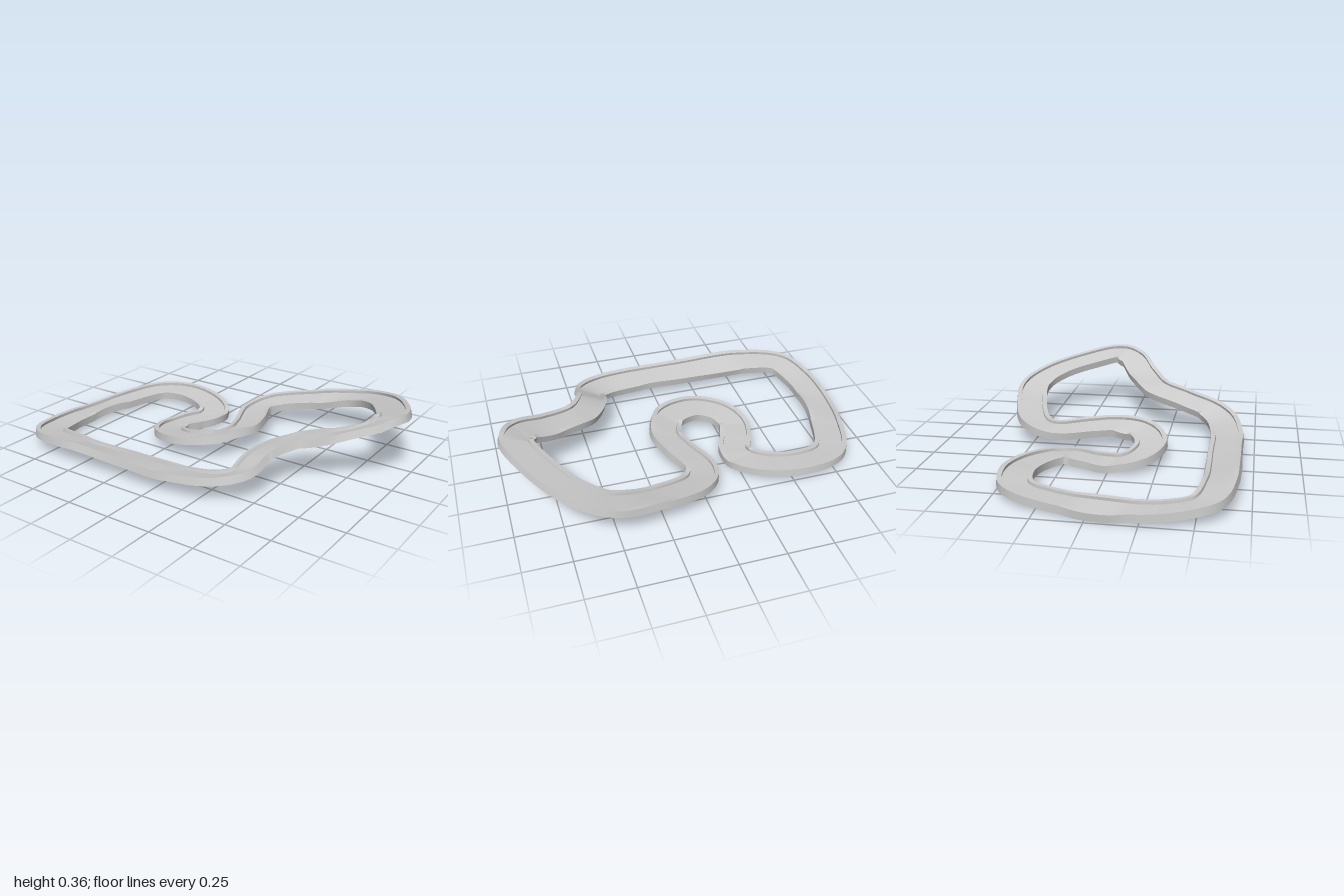
import * as THREE from 'three';

const HALF = 0.088;  // half the track width
const LANE = 0.063;  // half the width between the curbs
const CURB = 0.042;  // curb height
const ROAD = 0.026;  // road surface height

// Centreline stations: x, underside height, z, rise from inner to outer edge
const stations = [
  [-0.91, 0.004, 0.2, 0], [-0.87, 0.003, -0.1, 0], [-0.76, 0.015, -0.37, 0.01],
  [-0.6, 0.022, -0.425, 0.015], [-0.42, 0.015, -0.39, 0.01], [-0.29, 0.008, -0.29, 0],
  [-0.27, 0.005, -0.2, 0], [-0.31, 0.005, -0.1, 0], [-0.34, 0.01, 0.04, 0],
  [-0.29, 0.027, 0.145, -0.01], [-0.15, 0.05, 0.2, -0.02], [0.02, 0.068, 0.13, -0.035],
  [0.083, 0.07, -0.03, -0.035], [0.055, 0.065, -0.16, -0.03], [-0.015, 0.06, -0.36, -0.02],
  [0.035, 0.075, -0.48, 0.01], [0.245, 0.11, -0.575, 0.02], [0.53, 0.165, -0.615, 0.02],
  [0.7, 0.213, -0.52, 0.03], [0.84, 0.26, -0.33, 0.04], [0.913, 0.29, -0.15, 0.045],
  [0.865, 0.27, -0.05, 0.045], [0.71, 0.215, 0.04, 0.04], [0.52, 0.175, 0.155, 0.04],
  [0.43, 0.145, 0.32, 0.05], [0.41, 0.097, 0.465, 0.05], [0.31, 0.072, 0.55, 0.04],
  [0.1, 0.057, 0.597, 0.035], [-0.2, 0.055, 0.603, 0.035], [-0.6, 0.055, 0.6, 0.035],
  [-0.83, 0.035, 0.54, 0.02], [-0.895, 0.015, 0.39, 0.01],
];

// Banked frames along the closed centreline
function makeFrames() {
  const path = new THREE.CatmullRomCurve3(stations.map(([x, y, z]) => new THREE.Vector3(x, y, z)), true);
  const banks = new THREE.CatmullRomCurve3(stations.map((s) => new THREE.Vector3(s[3], 0, 0)), true);
  const count = stations.length * 10;
  return Array.from({ length: count }, (_, i) => {
    const t = i / count;
    const tangent = path.getTangent(t);
    const slope = banks.getPoint(t).x / (2 * HALF);
    const flat = new THREE.Vector3(tangent.z, 0, -tangent.x).normalize();
    return {
      origin: path.getPoint(t),
      side: flat.clone().setY(slope).normalize(),
      up: flat.clone().multiplyScalar(-slope).setY(1).normalize(),
    };
  });
}

// Sweep section lines around the loop; each section side keeps its own vertices for crisp edges
function sweep(name, frames, lines, material) {
  const positions = [], index = [];
  const n = frames.length;
  for (const line of lines) {
    for (let k = 0; k < line.length - 1; k++) {
      const base = positions.length / 3;
      for (const f of frames) {
        for (const [u, v] of [line[k], line[k + 1]]) {
          const p = f.origin.clone().addScaledVector(f.side, u).addScaledVector(f.up, v);
          positions.push(p.x, p.y, p.z);
        }
      }
      for (let i = 0; i < n; i++) {
        const a = base + 2 * i, b = base + 2 * ((i + 1) % n);
        index.push(a, a + 1, b, a + 1, b + 1, b);
      }
    }
  }
  const geometry = new THREE.BufferGeometry();
  geometry.setAttribute('position', new THREE.Float32BufferAttribute(positions, 3));
  geometry.setIndex(index);
  geometry.computeVertexNormals();
  const mesh = new THREE.Mesh(geometry, material);
  mesh.name = name;
  return mesh;
}

export function createModel() {
  const group = new THREE.Group();
  group.name = 'raceTrack';
  const material = new THREE.MeshStandardMaterial({ color: 0xcccccc });
  const frames = makeFrames();

  // Road surface and its underside
  group.add(sweep('roadbed', frames, [
    [[LANE, ROAD], [-LANE, ROAD]],
    [[-LANE, 0], [LANE, 0]],
  ], material));

  // Raised curbs; the inner one mirrors the outer one
  const curb = [[LANE, 0], [HALF, 0], [HALF, CURB], [LANE, CURB], [LANE, ROAD]];
  const mirrored = curb.map(([u, v]) => [-u, v]).reverse();
  group.add(sweep('outerCurb', frames, [curb], material));
  group.add(sweep('innerCurb', frames, [mirrored], material));
  return group;
}
